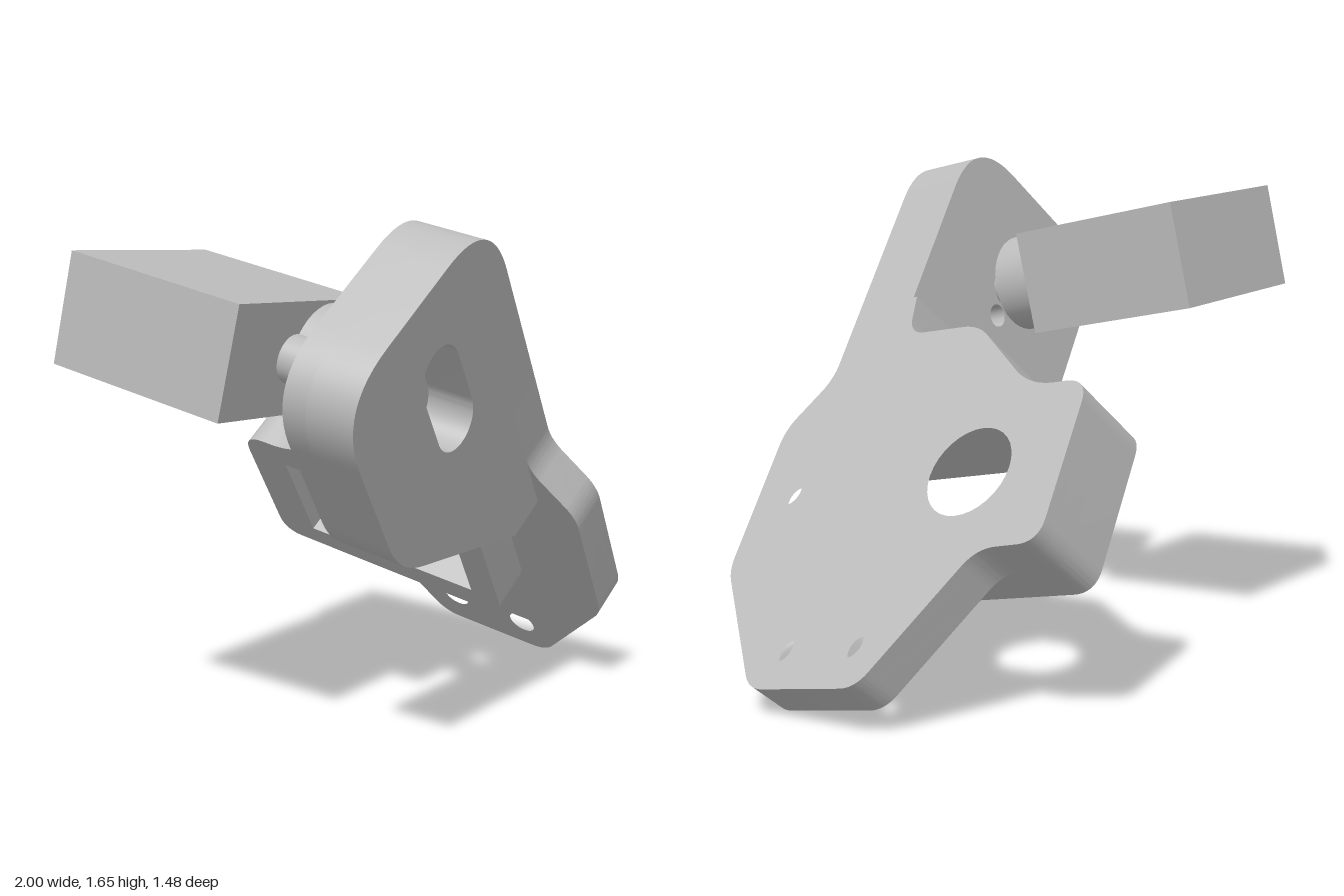
import * as THREE from 'three';
import { toCreasedNormals } from 'three/addons/utils/BufferGeometryUtils.js';

const grey = new THREE.MeshStandardMaterial({ color: 0xbcbcbc });
grey.name = 'grey';

// Closed outline from corners [x, y, rounding length]
function rounded(corners, Type = THREE.Shape) {
  const path = new Type();
  const n = corners.length;
  corners.forEach(([x, y, d = 0], i) => {
    const p = new THREE.Vector2(x, y);
    const toward = (c) => new THREE.Vector2(c[0], c[1]).sub(p).normalize().multiplyScalar(d).add(p);
    const a = toward(corners[(i + n - 1) % n]);
    const b = toward(corners[(i + 1) % n]);
    if (i === 0) path.moveTo(a.x, a.y);
    else path.lineTo(a.x, a.y);
    if (d > 0) path.quadraticCurveTo(x, y, b.x, b.y);
  });
  path.closePath();
  return path;
}

const circle = (x, y, r) => new THREE.Path().absarc(x, y, r, 0, Math.PI * 2, true);

function slab(name, outline, holes, depth) {
  const shape = rounded(outline);
  shape.holes.push(...holes);
  const geo = new THREE.ExtrudeGeometry(shape, { depth, bevelEnabled: false, curveSegments: 16 });
  const mesh = new THREE.Mesh(toCreasedNormals(geo, 0.5), grey);
  mesh.name = name;
  return mesh;
}

// Layer of the side plate, running from height top down to bottom
function layer(name, outline, holes, top, bottom) {
  const mesh = slab(name, outline, holes, top - bottom);
  mesh.rotation.x = Math.PI / 2;
  mesh.position.y = top;
  return mesh;
}

function cylinder(name, r, x, y, z0, z1) {
  const geo = new THREE.CylinderGeometry(r, r, z1 - z0, 40).rotateX(Math.PI / 2);
  const mesh = new THREE.Mesh(geo, grey);
  mesh.name = name;
  mesh.position.set(x, y, (z0 + z1) / 2);
  return mesh;
}

export function createModel() {
  const model = new THREE.Group();
  model.name = 'motorBracket';

  // Tilted frame: x down the side plate, y out of it, z along the motor shaft
  const body = new THREE.Group();
  body.name = 'tiltedAssembly';
  const n = new THREE.Vector3(0.778, 0.628, 0.0083).normalize();
  const a = new THREE.Vector3(0.143, -0.19, 0.971).normalize();
  const t = new THREE.Vector3().crossVectors(n, a).normalize();
  body.quaternion.setFromRotationMatrix(new THREE.Matrix4().makeBasis(t, n, a));
  model.add(body);

  // Side plate: shared back edge of the neck and the housing
  const backEdge = [
    [-0.92, 0.36], [-0.92, 0.105], [-0.76, 0.075, 0.07], [-0.75, -0.23, 0.07],
    [-0.475, -0.53, 0.1], [-0.475, -0.757, 0.09], [0.085, -0.757, 0.08],
  ].reverse();
  const plateOutline = [
    ...backEdge, [-0.62, 0.36, 0.06], [-0.43, 0.5, 0.06], [0.11, 0.5, 0.05],
    [0.535, 0.2, 0.06], [0.535, -0.24, 0.06], [0.092, -0.535, 0.07],
  ];
  const housingOutline = [
    ...backEdge, [-0.455, 0.36], [-0.455, 0.2, 0.07], [0.095, 0.2, 0.09],
  ];
  const smallHoles = () => [[-0.174, 0.357], [0.394, 0.125], [0.387, -0.16]]
    .map(([x, y]) => circle(x, y, 0.05));
  const pocket = () => rounded([[-0.375, -0.6], [0, -0.6], [0, 0.09], [-0.375, 0.09]], THREE.Path);
  body.add(
    layer('sidePlateFace', plateOutline, [circle(-0.182, -0.402, 0.155), ...smallHoles()], 0.838, 0.787),
    layer('sidePlateBack', plateOutline, [pocket(), ...smallHoles()], 0.787, 0.696),
    layer('pocketHousing', housingOutline, [pocket()], 0.696, 0.54),
  );

  // Front plate with a recessed slot and holes through its floor
  const armOutline = [
    [-1.64, 0.838, 0.24], [-1.64, 0.03, 0.25], [-0.915, 0.03, 0.13], [-0.455, 0.548], [-0.455, 0.838],
  ];
  const [cx, cy] = [-1.247, 0.445];
  const slot = new THREE.Path();
  slot.absarc(cx + 0.1, cy, 0.095, -Math.PI / 2, Math.PI / 2, false);
  slot.absarc(cx - 0.1, cy, 0.095, Math.PI / 2, Math.PI * 1.5, false);
  slot.closePath();
  const armFront = slab('frontPlateFace', armOutline, [slot], 0.16);
  armFront.position.z = 0.2;
  const armBack = slab('frontPlateBack', armOutline,
    [circle(cx, cy, 0.071), circle(cx - 0.123, cy, 0.04), circle(cx + 0.123, cy, 0.04)], 0.08);
  armBack.position.z = 0.12;
  body.add(armFront, armBack);

  // Motor: box, round boss, small second boss and shaft
  const motor = new THREE.Group();
  motor.name = 'motor';
  motor.position.set(-1.355, 0.34, 0);
  motor.rotation.z = 0.81;
  const box = new THREE.Mesh(new THREE.BoxGeometry(0.634, 0.347, 0.635), grey);
  box.name = 'motorBox';
  box.position.z = -0.41;
  motor.add(
    box,
    cylinder('boss', 0.165, 0.148, 0, -0.1, 0.04),
    cylinder('smallBoss', 0.075, -0.01, 0, -0.1, 0.035),
    cylinder('shaft', 0.068, 0.15, 0, 0.03, 0.16),
  );
  body.add(motor);

  return model;
}
